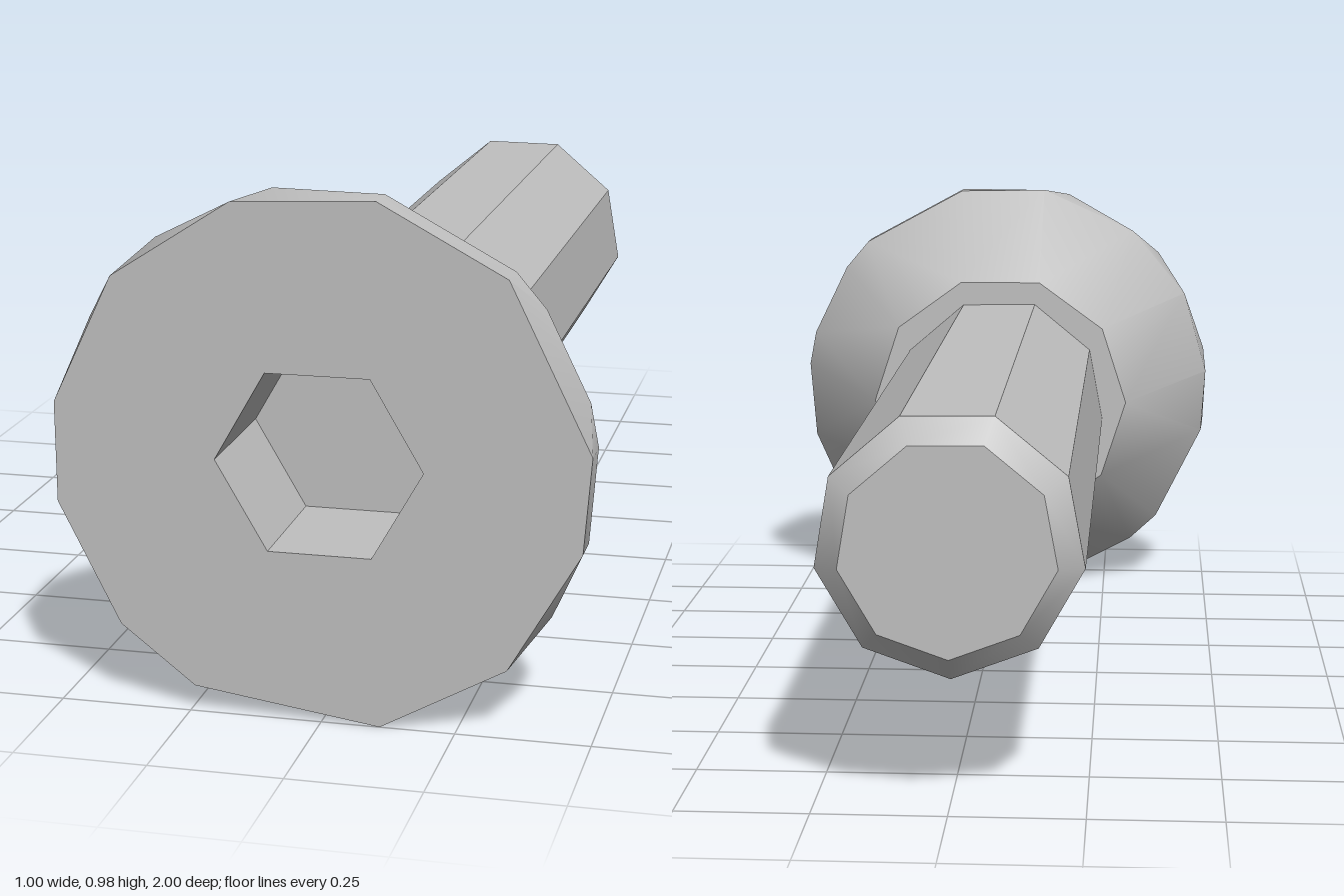
import * as THREE from 'three';
import { toCreasedNormals } from 'three/addons/utils/BufferGeometryUtils.js';
import { ConvexGeometry } from 'three/addons/geometries/ConvexGeometry.js';

const AXIS_Y = 0.49, CREASE = 0.6, SOCKET_R = 0.193, SOCKET_DEPTH = 0.26;

// Regular ring of points around the bolt axis
function ring(sides, radius, z, startDeg) {
  return Array.from({ length: sides }, (_, i) => {
    const a = THREE.MathUtils.degToRad(startDeg) + (i / sides) * Math.PI * 2;
    return new THREE.Vector3(Math.cos(a) * radius, Math.sin(a) * radius, z);
  });
}

// Irregular outline, given in x, y, placed at depth z
const outline = (pts, z) => pts.map(([x, y]) => new THREE.Vector3(x, y - AXIS_Y, z));

// Faceted skin around the rings, with the cap at capZ left out
function skin(points, capZ) {
  const p = new ConvexGeometry(points).getAttribute('position');
  const kept = [];
  for (let i = 0; i < p.count; i += 3) {
    if ([0, 1, 2].every((k) => Math.abs(p.getZ(i + k) - capZ) < 1e-4)) continue;
    for (let k = 0; k < 3; k++) kept.push(p.getX(i + k), p.getY(i + k), p.getZ(i + k));
  }
  const g = new THREE.BufferGeometry();
  g.setAttribute('position', new THREE.Float32BufferAttribute(kept, 3));
  return toCreasedNormals(g, CREASE);
}

export function createModel() {
  const bolt = new THREE.Group();
  bolt.name = 'countersunkBolt';
  const steel = new THREE.MeshStandardMaterial({ color: 0xc0c0c0 });
  steel.name = 'steel grey';
  const add = (name, geometry) => {
    const mesh = new THREE.Mesh(geometry, steel);
    mesh.name = name;
    mesh.position.y = AXIS_Y;
    bolt.add(mesh);
  };

  // Head: flat face outline, wider rim behind it, cone down to the neck
  const face = outline([
    [0.11, 0.977], [0.345, 0.85], [0.495, 0.54], [0.48, 0.36], [0.345, 0.13], [0.11, 0],
    [-0.24, 0.05], [-0.38, 0.16], [-0.495, 0.39], [-0.495, 0.58], [-0.38, 0.82], [-0.155, 0.965],
  ], 1);
  const rim = outline([
    [0.11, 0.977], [0.345, 0.85], [0.4, 0.785], [0.48, 0.62], [0.495, 0.54], [0.48, 0.36],
    [0.415, 0.215], [0.345, 0.13], [0.27, 0.07], [0.11, 0], [-0.135, 0.005], [-0.315, 0.1],
    [-0.38, 0.16], [-0.49, 0.38], [-0.5, 0.53], [-0.445, 0.725], [-0.315, 0.88], [-0.095, 0.98],
  ], 0.935);
  add('head', skin([...face, ...rim, ...ring(10, 0.303, 0.67, 0)], 1));

  // Flat face with the hexagonal opening
  const faceShape = new THREE.Shape(face.map((v) => new THREE.Vector2(v.x, v.y)));
  faceShape.holes.push(new THREE.Path(ring(6, SOCKET_R, 0, 0).map((v) => new THREE.Vector2(v.x, v.y))));
  add('headFace', new THREE.ShapeGeometry(faceShape).translate(0, 0, 1));

  // Socket walls, mirrored so that they face inward, and the floor
  const walls = new THREE.CylinderGeometry(SOCKET_R, SOCKET_R, SOCKET_DEPTH, 6, 1, true, Math.PI / 6)
    .rotateX(Math.PI / 2).scale(-1, 1, 1).translate(0, 0, 1 - SOCKET_DEPTH / 2).toNonIndexed();
  walls.computeVertexNormals();
  add('socketWalls', walls);
  add('socketFloor', new THREE.CircleGeometry(SOCKET_R, 6).translate(0, 0, 1 - SOCKET_DEPTH));

  // Shank with a chamfered tip
  add('shank', skin([
    ...ring(9, 0.25, 0.67, -10.6),
    ...ring(9, 0.248, -0.95, -10.6),
    ...ring(9, 0.2, -1, -10.6),
  ], 0.67));

  return bolt;
}
